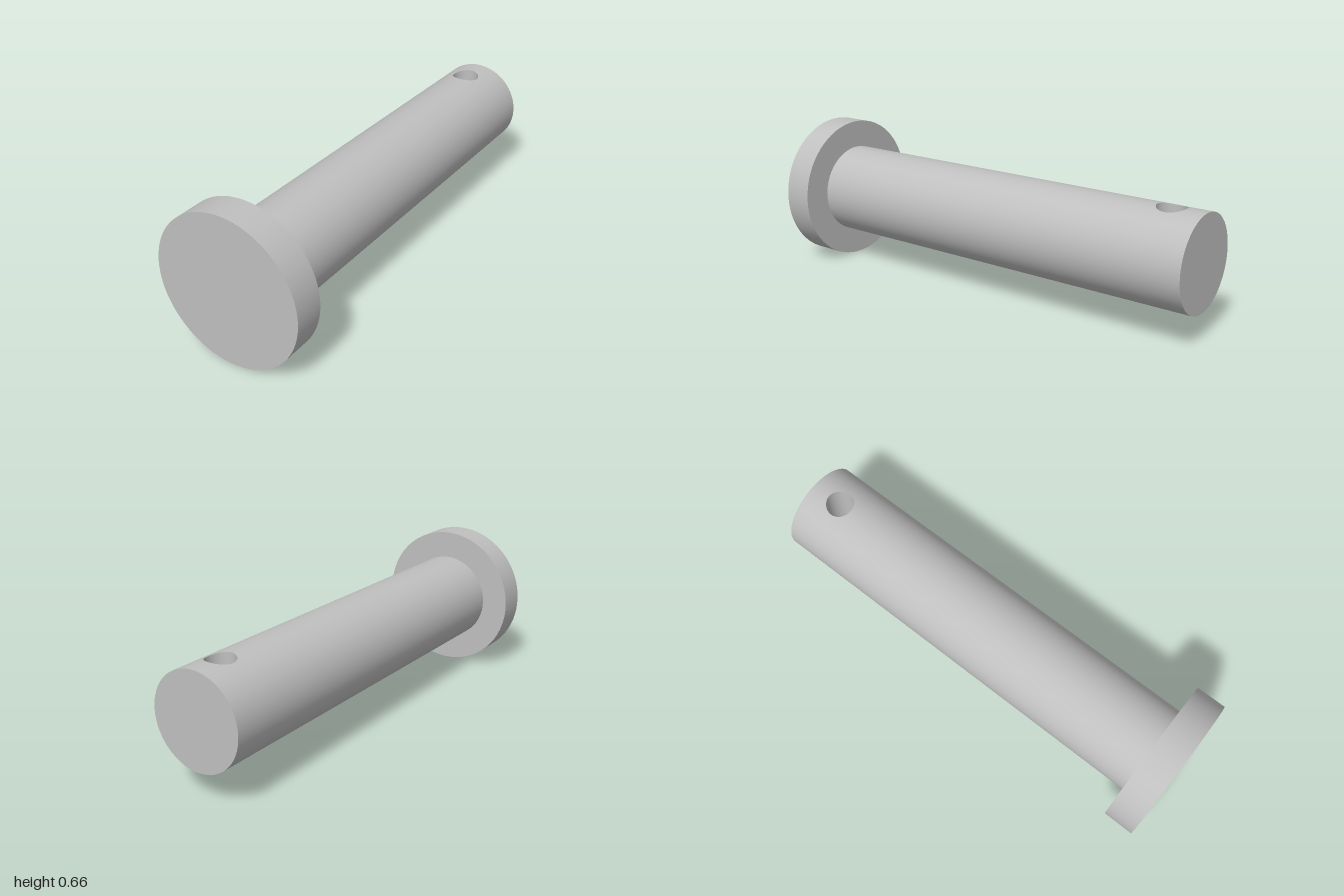
import * as THREE from 'three';

const HEAD_R = 0.33, HEAD_BACK = 0.865, SHAFT_R = 0.205;
const HOLE_R = 0.062, HOLE_Z = -0.85, HALF = 0.15; // the drilled zone spans HOLE_Z +- HALF
const AROUND = 128;

// Grid surface: at(i, j) returns [position, normal]
function gridSurface(cols, rows, at) {
  const pos = [], nor = [], index = [];
  for (let j = 0; j <= rows; j++) {
    for (let i = 0; i <= cols; i++) {
      const [p, n] = at(i, j);
      pos.push(...p);
      nor.push(...n);
      if (i < cols && j < rows) {
        const a = j * (cols + 1) + i, c = a + cols + 1;
        index.push(a, a + 1, c, a + 1, c + 1, c);
      }
    }
  }
  const g = new THREE.BufferGeometry();
  g.setAttribute('position', new THREE.Float32BufferAttribute(pos, 3));
  g.setAttribute('normal', new THREE.Float32BufferAttribute(nor, 3));
  g.setIndex(index);
  return g;
}

// Walks evenly along the edge of a square, from -1 to 1
const triangleWave = (q) => Math.abs((((q % 4) + 4) % 4) - 2) - 1;
const squareEdge = (q) => THREE.MathUtils.clamp(2 * triangleWave(q), -1, 1);

// Half of the shaft wall, opened by the round hole
function drilledHalf() {
  const rows = 12;
  return gridSurface(AROUND, rows, (i, j) => {
    const t = (i / AROUND) * Math.PI * 2, q = (i / AROUND) * 4, s = j / rows;
    const phi = THREE.MathUtils.lerp(
      Math.asin((HOLE_R * Math.cos(t)) / SHAFT_R), squareEdge(q) * Math.PI / 2, s);
    const z = HOLE_Z + THREE.MathUtils.lerp(HOLE_R * Math.sin(t), HALF * squareEdge(q - 1), s);
    const n = [Math.sin(phi), Math.cos(phi), 0];
    return [[n[0] * SHAFT_R, n[1] * SHAFT_R, z], n];
  });
}

// Bore running straight through the shaft
function boreWall() {
  return gridSurface(AROUND, 1, (i, j) => {
    const t = (i / AROUND) * Math.PI * 2;
    const x = HOLE_R * Math.cos(t), y = Math.sqrt(SHAFT_R * SHAFT_R - x * x);
    return [[x, j ? y : -y, HOLE_Z + HOLE_R * Math.sin(t)], [-Math.cos(t), 0, -Math.sin(t)]];
  });
}

export function createModel() {
  const steel = new THREE.MeshStandardMaterial({ color: 0xbfbfbf });
  steel.name = 'steel grey';
  const pin = new THREE.Group();
  pin.name = 'clevisPin';
  const add = (name, geometry) => {
    const mesh = new THREE.Mesh(geometry, steel);
    mesh.name = name;
    mesh.position.y = HEAD_R;
    pin.add(mesh);
    return mesh;
  };

  // Flat round head
  const headDepth = 1 - HEAD_BACK;
  add('head', new THREE.CylinderGeometry(HEAD_R, HEAD_R, headDepth, 96)
    .rotateX(Math.PI / 2).translate(0, 0, HEAD_BACK + headDepth / 2));

  // Plain shaft
  const start = HOLE_Z + HALF, length = HEAD_BACK - start;
  add('shaft', new THREE.CylinderGeometry(SHAFT_R, SHAFT_R, length, 64, 1, true)
    .rotateX(Math.PI / 2).translate(0, 0, start + length / 2));

  // Drilled end of the shaft
  add('drilledEndTop', drilledHalf());
  add('drilledEndBottom', drilledHalf()).rotation.z = Math.PI;
  add('crossHole', boreWall());
  add('shaftEnd', new THREE.CircleGeometry(SHAFT_R, 64).rotateY(Math.PI).translate(0, 0, -1));

  return pin;
}
